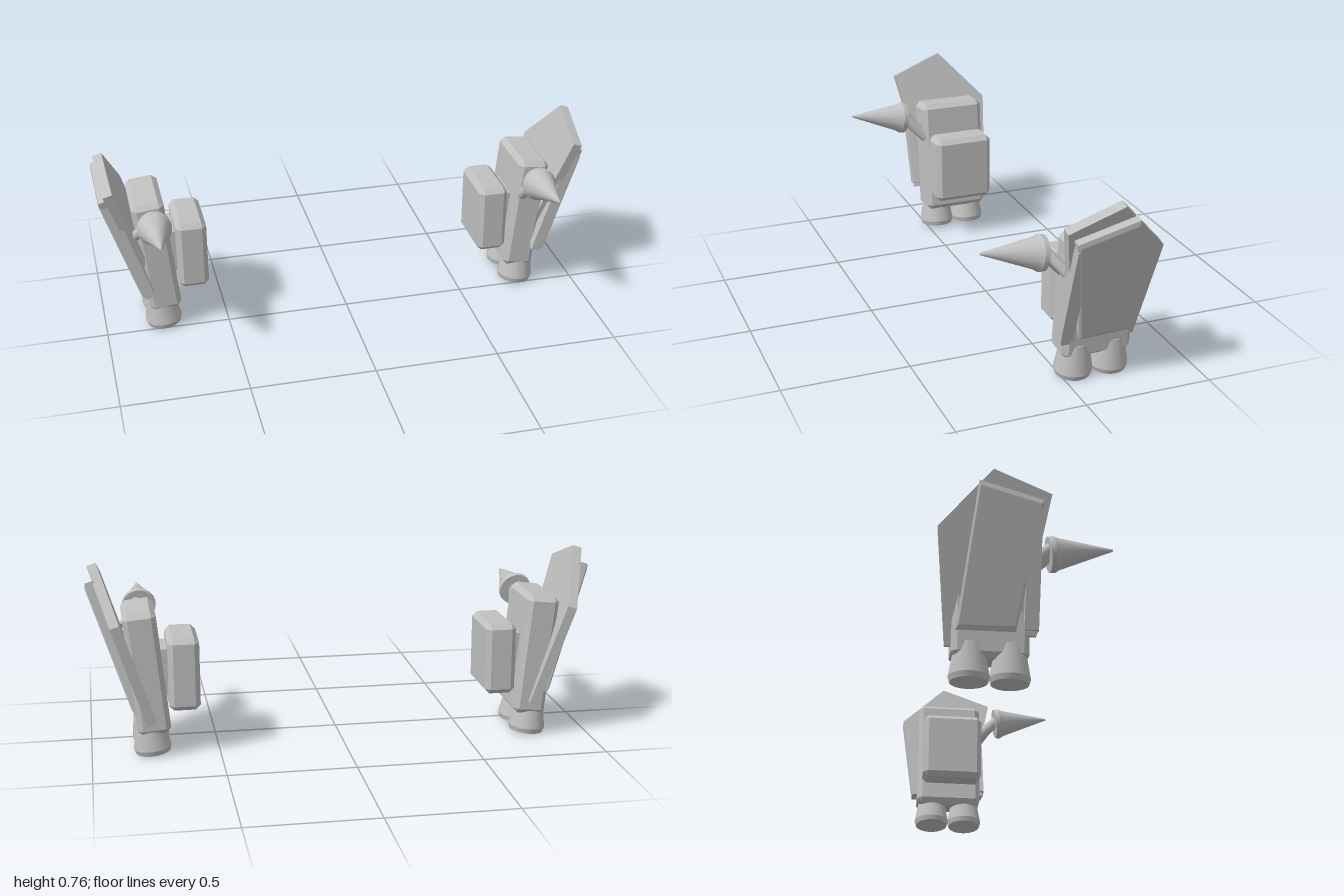
import * as THREE from 'three';
import { toCreasedNormals } from 'three/addons/utils/BufferGeometryUtils.js';
import { ConvexGeometry } from 'three/addons/geometries/ConvexGeometry.js';

const grey = new THREE.MeshStandardMaterial({ color: 0xc0c0c0 });
grey.name = 'plain grey';

const V = (x, y, z) => new THREE.Vector3(x, y, z);

function part(name, geometry, parent) {
  const mesh = new THREE.Mesh(geometry, grey);
  mesh.name = name;
  parent.add(mesh);
  return mesh;
}

// box with all twelve edges cut at 45 degrees
function chamferBox(w, h, d, c) {
  const pts = [];
  for (const x of [-1, 1]) for (const y of [-1, 1]) for (const z of [-1, 1]) {
    pts.push(V(x * w / 2, y * (h / 2 - c), z * (d / 2 - c)));
    pts.push(V(x * (w / 2 - c), y * h / 2, z * (d / 2 - c)));
    pts.push(V(x * (w / 2 - c), y * (h / 2 - c), z * d / 2));
  }
  return new ConvexGeometry(pts);
}

// slab lying on the leaning shield plane; outline is [z, y] pairs,
// layers are [depth below the outer face, outline scale]
function slab(side, outline, offset, layers) {
  const normal = V(1, -0.325, -0.05).normalize();
  const cz = outline.reduce((a, p) => a + p[0], 0) / outline.length;
  const cy = outline.reduce((a, p) => a + p[1], 0) / outline.length;
  const pts = [];
  for (const [depth, scale] of layers) for (const [pz, py] of outline) {
    const z = cz + (pz - cz) * scale, y = cy + (py - cy) * scale;
    const p = V(0.753 + offset + 0.325 * y + 0.05 * z, y, z).addScaledVector(normal, -depth);
    pts.push(V(p.x * side, p.y, p.z));
  }
  return new ConvexGeometry(pts);
}

function lathe(profile) {
  const pts = profile.map(([r, y]) => new THREE.Vector2(r, y));
  return toCreasedNormals(new THREE.LatheGeometry(pts, 40), 0.3);
}

function strut(name, a, b, r, parent) {
  const dir = b.clone().sub(a);
  const mesh = part(name, new THREE.CylinderGeometry(r, r, dir.length(), 20), parent);
  mesh.position.copy(a).addScaledVector(dir, 0.5);
  mesh.quaternion.setFromUnitVectors(V(0, 1, 0), dir.normalize());
}

function createPod(side) {
  const pod = new THREE.Group();
  pod.name = side > 0 ? 'leftPod' : 'rightPod';
  const lean = -side * 0.1;

  // leaning main body
  const body = part('body', chamferBox(0.13, 0.49, 0.277, 0.02), pod);
  body.position.set(side * 0.778, 0.335, -0.126);
  body.rotation.z = lean;

  // upright box on the inner side
  const box = part('innerBox', chamferBox(0.123, 0.29, 0.255, 0.02), pod);
  box.position.set(side * 0.634, 0.323, -0.122);
  const bracket = part('boxBracket', new THREE.BoxGeometry(0.08, 0.18, 0.16), pod);
  bracket.position.set(side * 0.71, 0.33, -0.124);

  // two flared nozzles underneath
  for (const z of [-0.052, -0.197]) {
    const nozzle = part('nozzle', lathe([[0, 0], [0.068, 0], [0.074, 0.02], [0.053, 0.14], [0, 0.14]]), pod);
    nozzle.position.set(side * 0.761, 0.007, z);
    nozzle.rotation.z = lean;
  }

  // outer shield with a raised panel
  part('shield', slab(side,
    [[-0.137, 0.746], [0.075, 0.666], [-0.03, 0.135], [-0.287, 0.135], [-0.328, 0.542]],
    0, [[0, 1], [0.038, 1]]), pod);
  part('shieldPanel', slab(side,
    [[-0.19, 0.688], [0.045, 0.627], [-0.04, 0.175], [-0.253, 0.175]],
    0.037, [[0, 0.93], [0.007, 1], [0.042, 1]]), pod);

  // upright rail along the front edge of the shield
  part('rail', slab(side, [[-0.012, 0.18], [0.04, 0.18], [0.04, 0.598], [-0.012, 0.598]],
    0.036, [[0, 0.99], [0.005, 1], [0.045, 1], [0.05, 0.99]]), pod);
  part('railFoot', slab(side, [[-0.006, 0.165], [0.033, 0.165], [0.033, 0.2], [-0.006, 0.2]],
    0.03, [[0, 1], [0.036, 1]]), pod);

  // forward spike held by two struts
  const spike = part('spike',
    lathe([[0, 0], [0.066, 0], [0.068, 0.02], [0.059, 0.037], [0.004, 0.243], [0, 0.243]]), pod);
  spike.position.set(side * 0.788, 0.525, 0.088);
  spike.rotation.x = Math.PI / 2 - 0.146;
  strut('innerStrut', V(side * 0.755, 0.43, -0.005), V(side * 0.785, 0.535, 0.095), 0.024, pod);
  strut('outerStrut', V(side * 0.855, 0.46, 0.02), V(side * 0.795, 0.55, 0.095), 0.02, pod);
  return pod;
}

export function createModel() {
  const model = new THREE.Group();
  model.name = 'twinPods';
  model.add(createPod(1), createPod(-1));
  return model;
}
